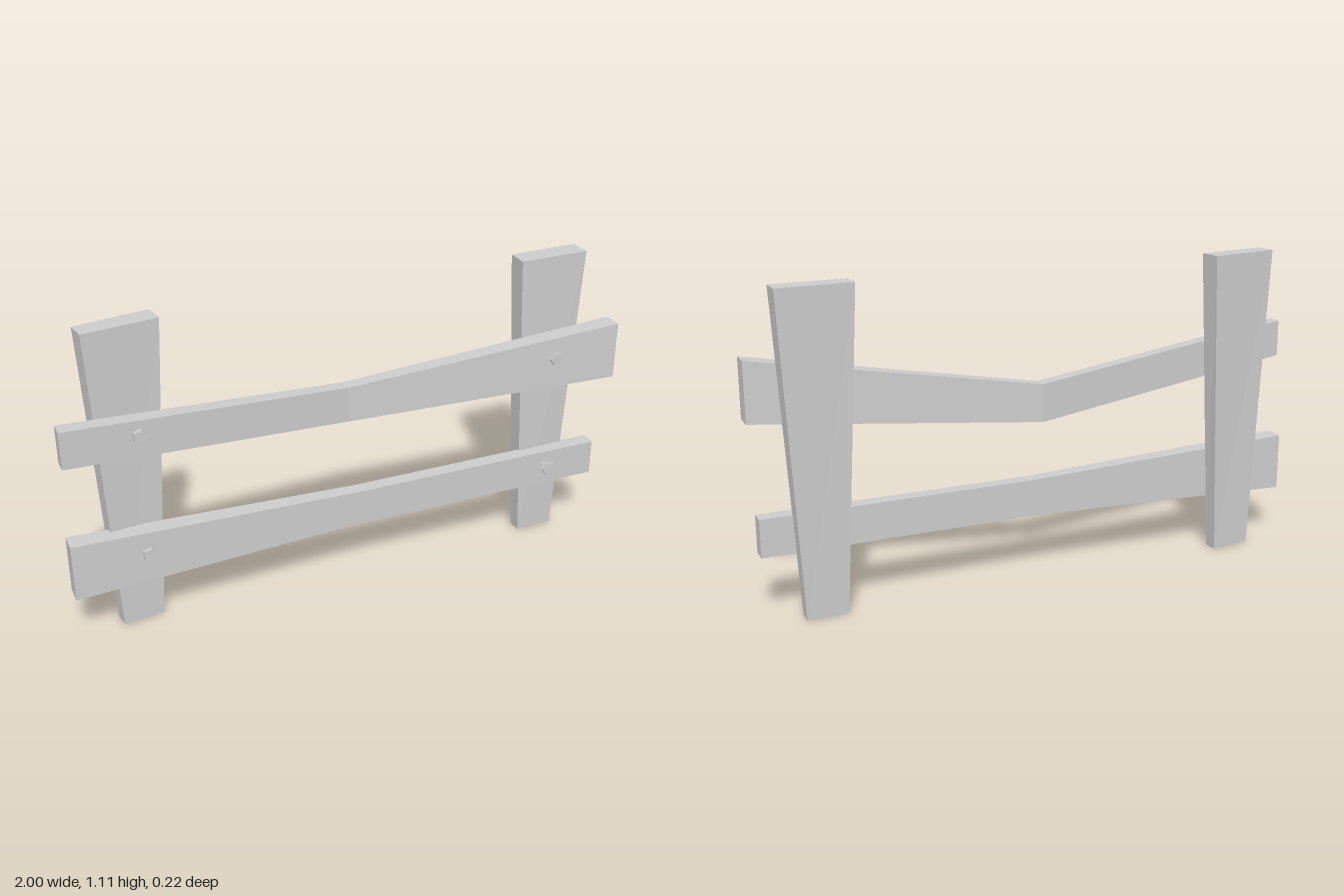
import * as THREE from 'three';

const material = new THREE.MeshStandardMaterial({ color: 0xcccccc, flatShading: true });

// Skin a row of four-cornered sections and close both ends.
// Corners run counter-clockwise seen from the last section.
function loft(name, sections) {
  const pos = [];
  const quad = (a, b, c, d) => pos.push(...a, ...b, ...c, ...a, ...c, ...d);
  for (let s = 0; s < sections.length - 1; s++) {
    const a = sections[s], b = sections[s + 1];
    for (let i = 0; i < 4; i++) {
      const j = (i + 1) % 4;
      quad(a[i], a[j], b[j], b[i]);
    }
  }
  quad(...[...sections[0]].reverse());
  quad(...sections[sections.length - 1]);
  const geometry = new THREE.BufferGeometry();
  geometry.setAttribute('position', new THREE.Float32BufferAttribute(pos, 3));
  geometry.computeVertexNormals();
  const mesh = new THREE.Mesh(geometry, material);
  mesh.name = name;
  return mesh;
}

// Rail section at x, from bottom to top and back to front
const railSection = (x, bottom, top, back, front) => [
  [x, bottom, front], [x, bottom, back], [x, top, back], [x, top, front],
];

// Post section at y: front-left, front-right, back-right, back-left as [x, z]
const postSection = (y, ...corners) => corners.map(([x, z]) => [x, y, z]);

// Five-sided nail: a flat head tapering into a thin shank
function nail(name, x, y, z, side) {
  const profile = [[0, -0.06], [0.01, -0.06], [0.01, -0.022], [0.025, -0.014], [0.025, 0], [0, 0]];
  const geometry = new THREE.LatheGeometry(profile.map(([r, h]) => new THREE.Vector2(r, h)), 5);
  geometry.rotateX(Math.PI / 2);
  geometry.rotateZ(side * Math.PI / 2);
  const mesh = new THREE.Mesh(geometry, material);
  mesh.name = name;
  mesh.position.set(x, y, z);
  return mesh;
}

export function createModel() {
  const fence = new THREE.Group();
  fence.name = 'fence';

  // Posts, wider at the top and slightly twisted
  fence.add(loft('rightPost', [
    postSection(0, [-0.835, -0.013], [-0.69, -0.03], [-0.692, -0.083], [-0.842, -0.066]),
    postSection(1.11, [-0.89, 0.005], [-0.63, -0.03], [-0.64, -0.107], [-0.9, -0.066]),
  ]));
  fence.add(loft('leftPost', [
    postSection(0, [0.72, -0.012], [0.862, -0.015], [0.862, -0.067], [0.72, -0.066]),
    postSection(1.11, [0.66, -0.006], [0.92, -0.01], [0.92, -0.092], [0.66, -0.083]),
  ]));

  // Rails, each bent at the middle
  fence.add(loft('topRail', [
    railSection(-1, 0.695, 0.827, 0.016, 0.07),
    railSection(0.03, 0.59, 0.722, -0.112, -0.063),
    railSection(1, 0.658, 0.866, 0.04, 0.111),
  ]));
  fence.add(loft('bottomRail', [
    railSection(-1, 0.184, 0.391, -0.027, 0.044),
    railSection(0.03, 0.222, 0.354, -0.02, 0.031),
    railSection(0.99, 0.222, 0.354, -0.018, 0.038),
  ]));

  // Nails where the rails cross the posts
  for (const [rail, y] of [['top', 0.755], ['bottom', 0.308]]) {
    fence.add(nail(rail + 'RightNail', -0.743, y, 0.064, 1));
    fence.add(nail(rail + 'LeftNail', 0.776, y, 0.082, -1));
  }
  return fence;
}
